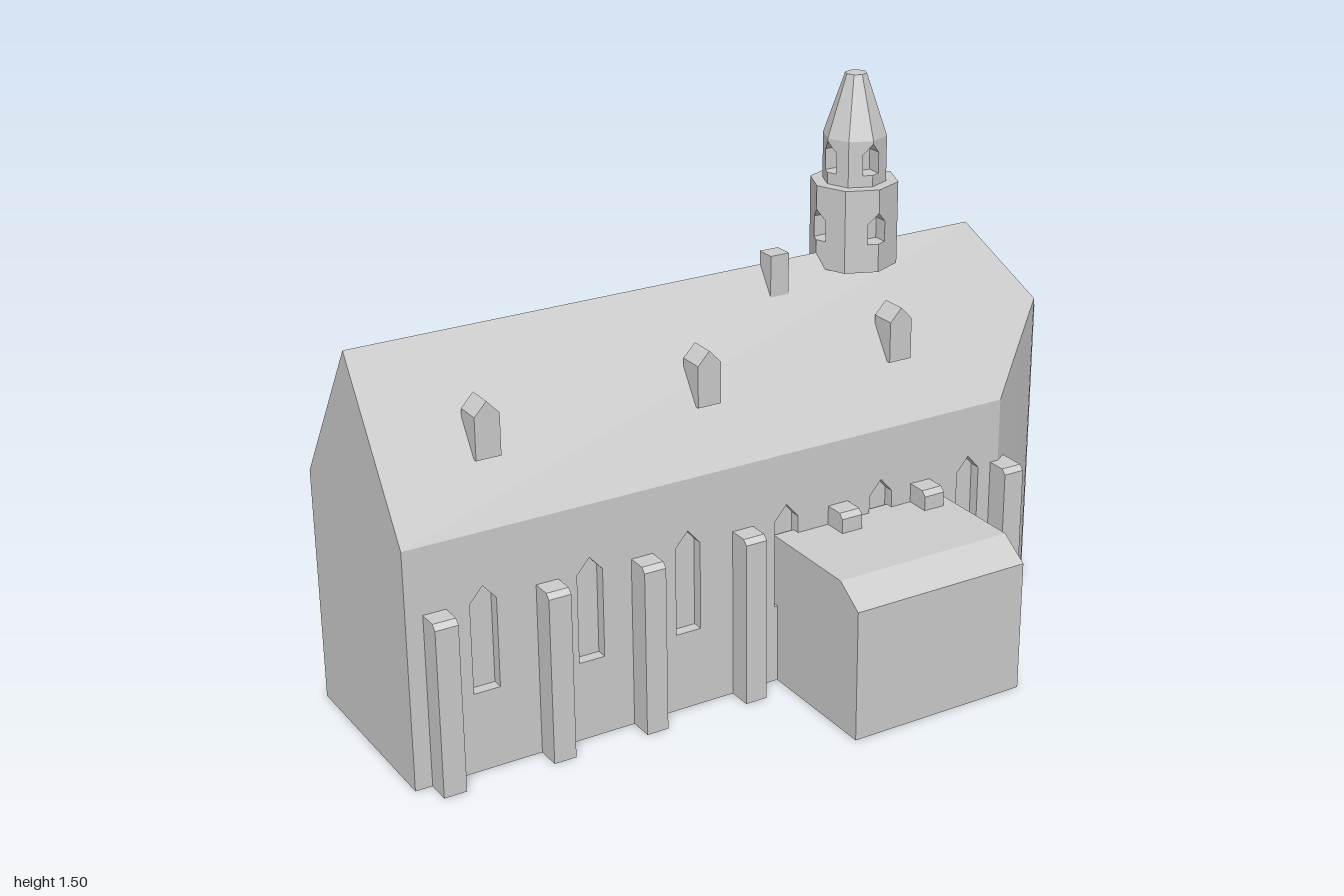
import * as THREE from 'three';

const stone = new THREE.MeshStandardMaterial({ color: 0xcccccc });
stone.name = 'pale stone';

const HALF = 0.27, EAVE = 0.635, RIDGE = 1.04;

function part(parent, name, geometry) {
  const mesh = new THREE.Mesh(geometry, stone);
  mesh.name = name;
  parent.add(mesh);
  return mesh;
}

// Flat convex polygon, corners counterclockwise from outside
function face(points) {
  const pos = [];
  for (let i = 1; i < points.length - 1; i++) pos.push(...points[0], ...points[i], ...points[i + 1]);
  const g = new THREE.BufferGeometry();
  g.setAttribute('position', new THREE.Float32BufferAttribute(pos, 3));
  g.computeVertexNormals();
  return g;
}

const shapeOf = (pts) => new THREE.Shape(pts.map(([x, y]) => new THREE.Vector2(x, y)));
const extrude = (shape, depth) => new THREE.ExtrudeGeometry(shape, { depth, bevelEnabled: false });

// Profile in (z, y) swept from x0 to x1
function prism(profile, x0, x1) {
  return extrude(shapeOf(profile), x1 - x0).rotateY(-Math.PI / 2).translate(x1, 0, 0);
}

// Upright outline with a pointed head
const lancet = (x, w, y0, spring, apex) =>
  [[x - w, y0], [x + w, y0], [x + w, spring], [x, apex], [x - w, spring]];

// Octagonal storey with pointed openings cut into the four corners on the axes
function storey(r, y0, y1, sill, spring, apex, w) {
  const rings = [[y0, 0], [sill, 0], [sill, w], [spring, w], [apex, 0], [y1, 0]];
  const slope = Math.tan(Math.PI / 8), depth = r - 0.05, pos = [], index = [], n = 20;
  for (const [y, h] of rings) {
    for (let k = 0; k < 4; k++) {
      const a = k * Math.PI / 2, c = Math.cos(a), s = Math.sin(a), edge = r - h * slope;
      const d = r * Math.SQRT1_2;
      for (const [u, v] of [[edge, -h], [depth, -h], [depth, h], [edge, h], [d, d]])
        pos.push(u * c - v * s, y, -(u * s + v * c));
    }
  }
  for (let j = 0; j < rings.length - 1; j++)
    for (let i = 0; i < n; i++) {
      const a = j * n + i, b = j * n + (i + 1) % n;
      index.push(a, b, b + n, a, b + n, a + n);
    }
  let g = new THREE.BufferGeometry();
  g.setAttribute('position', new THREE.Float32BufferAttribute(pos, 3));
  g.setIndex(index);
  g = g.toNonIndexed();
  g.computeVertexNormals();
  return g;
}

function flatCylinder(rTop, rBottom, h) {
  const g = new THREE.CylinderGeometry(rTop, rBottom, h, 8).toNonIndexed();
  g.computeVertexNormals();
  return g;
}

export function createModel() {
  const model = new THREE.Group();
  model.name = 'church';
  const church = new THREE.Group();
  church.name = 'building';
  church.position.z = -0.145;
  model.add(church);

  // Half of the rounded east end: x, z, wall height
  const apse = [[0.72, HALF, EAVE], [0.927, 0.135, 0.8375], [0.95, 0.11, 0.804], [1, 0, 0.73]];
  const mirrored = apse.map(([x, z, y]) => [x, -z, y]).reverse();

  // Long walls with recessed windows
  const windows = [-0.8, -0.515, -0.24, 0.05, 0.34, 0.62];
  for (const side of [1, -1]) {
    const name = side > 0 ? 'front' : 'back';
    const xs = [-1 * side, 0.72 * side].sort((a, b) => a - b);
    const wall = shapeOf([[xs[0], 0], [xs[1], 0], [xs[1], EAVE], [xs[0], EAVE]]);
    for (const x of windows)
      wall.holes.push(new THREE.Path(
        lancet(x * side, 0.035, 0.215, 0.455, 0.495).map(([a, b]) => new THREE.Vector2(a, b))));
    const turn = side > 0 ? 0 : Math.PI;
    part(church, name + 'Wall', extrude(wall, 0.03).translate(0, 0, HALF - 0.03).rotateY(turn));
    part(church, name + 'WindowPanes', face(
      [[xs[0], 0, 0], [xs[1], 0, 0], [xs[1], EAVE, 0], [xs[0], EAVE, 0]])
      .translate(0, 0, HALF - 0.03).rotateY(turn));

    // Roof slope
    const slope = [[-1, EAVE, HALF * side], [0.72, EAVE, HALF * side], [0.927, 0.8375, 0.135 * side],
      [0.79, RIDGE, 0], [-1, RIDGE, 0]];
    part(church, name + 'RoofSlope', face(side > 0 ? slope : slope.reverse()));

    // Buttresses with a chipped outer top edge
    const xsButtress = [-0.925, -0.63, -0.37, -0.08, 0.207, side > 0 ? 0.465 : 0.5, 0.725];
    const profile = [[0.25, 0], [0.335, 0], [0.335, 0.447], [0.322, 0.46], [0.25, 0.46]];
    for (const x of xsButtress)
      part(church, name + 'Buttress',
        prism(profile.map(([z, y]) => [z * side, y]), x - 0.03, x + 0.03));
  }

  // Rounded east end
  for (const half of [apse, mirrored]) {
    const pos = [], index = [];
    half.forEach(([x, z, y], i) => {
      pos.push(x, 0, z, x, y, z);
      const a = 2 * i;
      if (i < half.length - 1) index.push(a, a + 2, a + 3, a, a + 3, a + 1);
    });
    const g = new THREE.BufferGeometry();
    g.setAttribute('position', new THREE.Float32BufferAttribute(pos, 3));
    g.setIndex(index);
    g.computeVertexNormals();
    part(church, 'apseWall', g);
  }
  const hip = [...apse.slice(1), ...mirrored.slice(1, 3)].map(([x, z, y]) => [x, y, z]);
  part(church, 'hipRoof', face([[0.79, RIDGE, 0], ...hip]));

  // West gable and floor
  part(church, 'gable', face([[-1, 0, -HALF], [-1, 0, HALF], [-1, EAVE, HALF], [-1, RIDGE, 0], [-1, EAVE, -HALF]]));
  const foot = [...apse, ...mirrored.slice(1)].map(([x, z]) => [x, 0, z]).reverse();
  part(church, 'floor', face([[-1, 0, -HALF], ...foot, [-1, 0, HALF]]));

  // Side annexes
  part(church, 'frontAnnex', prism([[0.25, 0], [0.63, 0], [0.63, 0.355], [0.552, 0.408], [0.25, 0.408]], 0.025, 0.53));
  part(church, 'backAnnex', prism([[-0.25, 0], [-0.336, 0], [-0.336, 0.29], [-0.25, 0.29]], 0.09, 0.37));

  // Dormers and chimney
  for (const x of [-0.73, -0.125, 0.45])
    part(church, 'dormer', extrude(shapeOf(lancet(x, 0.033, 0.775, 0.885, 0.92)), 0.07).translate(0, 0, 0.118));
  part(church, 'chimney', new THREE.BoxGeometry(0.054, 0.125, 0.052).translate(0.167, 1.0125, 0.024));

  // Octagonal bell tower
  const tower = new THREE.Group();
  tower.name = 'bellTower';
  tower.position.x = 0.425;
  church.add(tower);
  part(tower, 'lowerStorey', storey(0.115, 1.0, 1.22, 1.075, 1.13, 1.157, 0.026));
  part(tower, 'lowerStoreyTop', new THREE.CircleGeometry(0.115, 8).rotateX(-Math.PI / 2).translate(0, 1.22, 0));
  part(tower, 'lowerStoreyBase', new THREE.CircleGeometry(0.115, 8).rotateX(Math.PI / 2).translate(0, 1.0, 0));
  part(tower, 'upperStorey', storey(0.083, 1.22, 1.34, 1.25, 1.305, 1.332, 0.024));
  part(tower, 'spire', flatCylinder(0.028, 0.083, 0.16).translate(0, 1.42, 0));
  return model;
}
